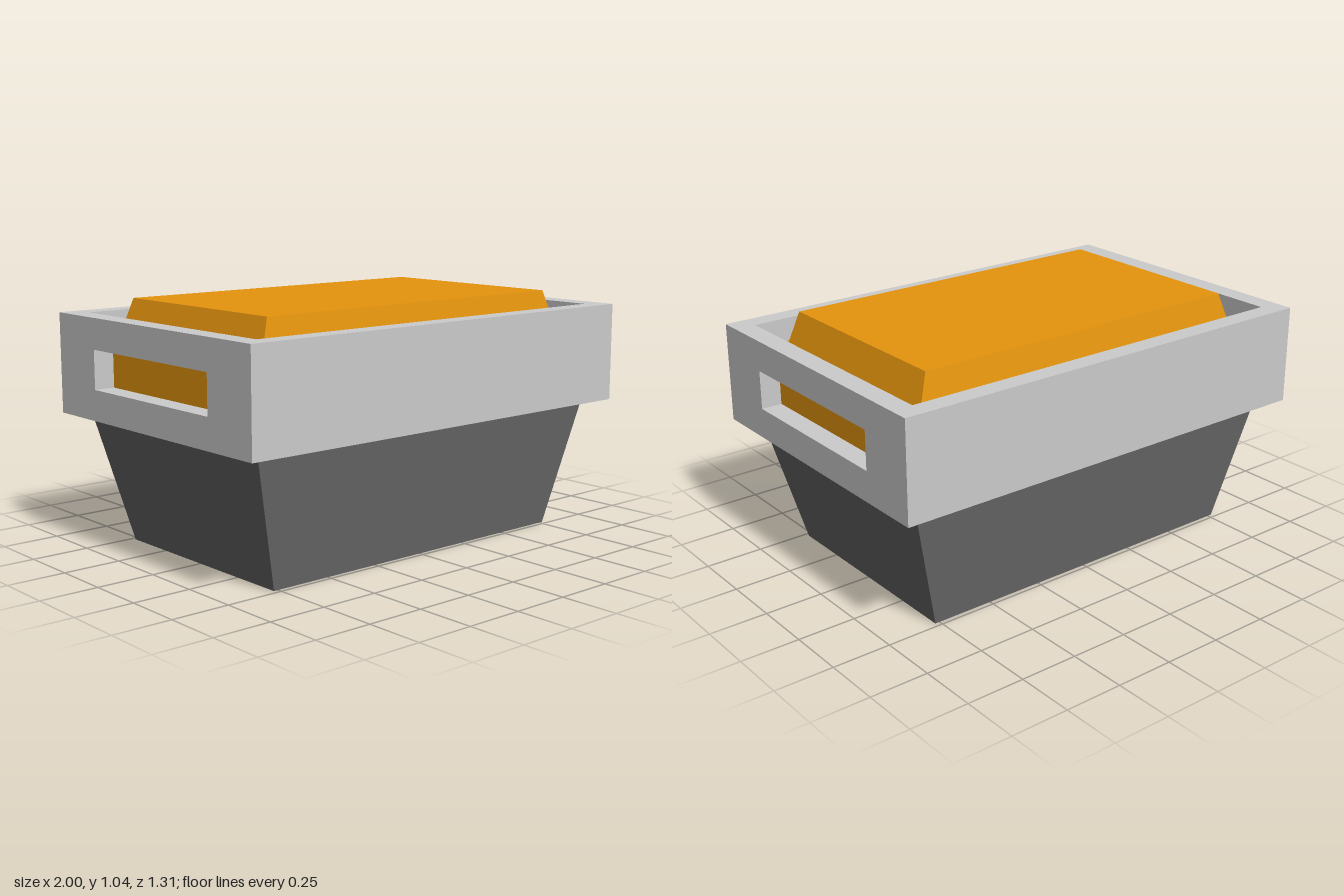
import * as THREE from 'three';

const grey = new THREE.MeshStandardMaterial({ color: 0xcccccc, flatShading: true });
const dark = new THREE.MeshStandardMaterial({ color: 0x6a6a6a, flatShading: true });
const orange = new THREE.MeshStandardMaterial({ color: 0xe6950e, flatShading: true });

// Outer and inner half sizes of the rim, and its height range
const OX = 1, OZ = 0.655, IX = 0.91, IZ = 0.57, Y0 = 0.56, Y1 = 0.985;

// Box whose bottom and top rectangles differ (half sizes)
function frustum(name, material, [bx, bz], [tx, tz], y0, y1) {
  const geometry = new THREE.BoxGeometry(2, y1 - y0, 2);
  const p = geometry.attributes.position;
  for (let i = 0; i < p.count; i++) {
    const top = p.getY(i) > 0;
    p.setX(i, p.getX(i) * (top ? tx : bx));
    p.setZ(i, p.getZ(i) * (top ? tz : bz));
  }
  geometry.translate(0, (y0 + y1) / 2, 0);
  geometry.computeVertexNormals();
  const mesh = new THREE.Mesh(geometry, material);
  mesh.name = name;
  return mesh;
}

function rectangle(path, half, y0, y1) {
  path.moveTo(-half, y0);
  path.lineTo(half, y0);
  path.lineTo(half, y1);
  path.lineTo(-half, y1);
  path.closePath();
  return path;
}

// Rim wall with mitred ends, facing +z before it is turned
function rimWall(name, outerHalf, innerHalf, innerPos, outerPos, angle, slotted) {
  const shape = rectangle(new THREE.Shape(), outerHalf, Y0, Y1);
  if (slotted) shape.holes.push(rectangle(new THREE.Path(), 0.39, 0.69, 0.855));
  const depth = outerPos - innerPos;
  const geometry = new THREE.ExtrudeGeometry(shape, { depth, bevelEnabled: false });
  const p = geometry.attributes.position;
  for (let i = 0; i < p.count; i++) {
    const x = p.getX(i);
    if (p.getZ(i) < depth / 2 && Math.abs(x) > outerHalf - 0.01) p.setX(i, Math.sign(x) * innerHalf);
  }
  geometry.translate(0, 0, innerPos);
  geometry.computeVertexNormals();
  const mesh = new THREE.Mesh(geometry, grey);
  mesh.name = name;
  mesh.rotation.y = angle;
  return mesh;
}

export function createModel() {
  const model = new THREE.Group();
  model.name = 'handledTub';

  // Tapered tub
  model.add(frustum('tub', dark, [0.77, 0.48], [IX, IZ], 0, Y0));

  // Rim frame with a handle slot at each end
  const rim = new THREE.Group();
  rim.name = 'rim';
  rim.add(
    rimWall('frontWall', OX, IX, IZ, OZ, 0, false),
    rimWall('backWall', OX, IX, IZ, OZ, Math.PI, false),
    rimWall('leftHandleWall', OZ, IZ, IX, OX, Math.PI / 2, true),
    rimWall('rightHandleWall', OZ, IZ, IX, OX, -Math.PI / 2, true)
  );
  model.add(rim);

  // Filling block with a raised, chamfered lid
  const ledge = 0.885;
  model.add(frustum('lidBase', orange, [IX, IZ], [IX, IZ], Y0, ledge));
  model.add(frustum('lidTop', orange, [0.82, 0.482], [0.767, 0.45], ledge, 1.045));

  return model;
}
